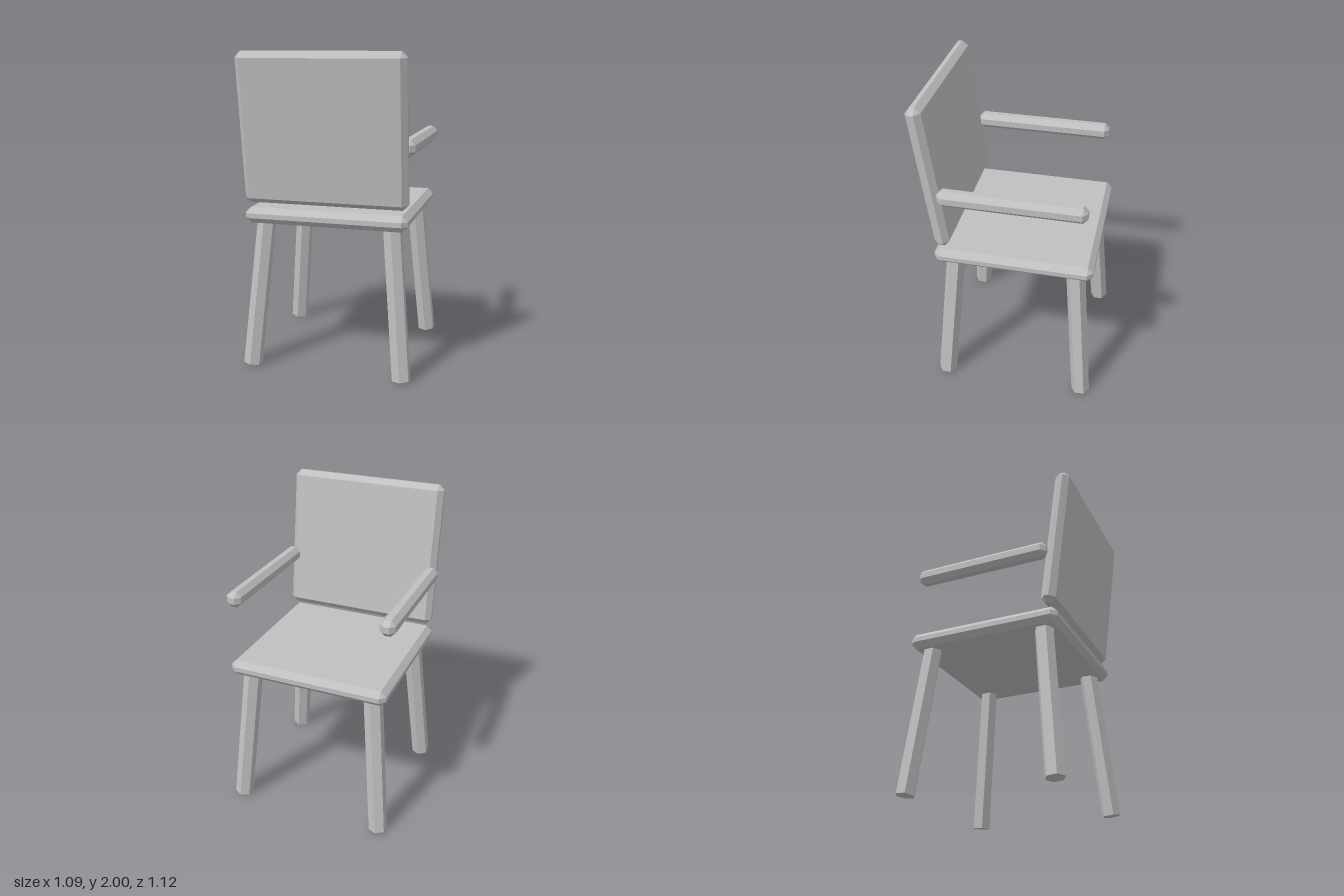
import * as THREE from 'three';
import { ConvexGeometry } from 'three/addons/geometries/ConvexGeometry.js';

// Box with every edge and corner cut by a single chamfer.
function chamferBox(w, h, d, b) {
  const x = w / 2, y = h / 2, z = d / 2;
  const points = [];
  for (const sx of [-1, 1]) for (const sy of [-1, 1]) for (const sz of [-1, 1]) {
    points.push(
      new THREE.Vector3(sx * x, sy * (y - b), sz * (z - b)),
      new THREE.Vector3(sx * (x - b), sy * y, sz * (z - b)),
      new THREE.Vector3(sx * (x - b), sy * (y - b), sz * z),
    );
  }
  return new ConvexGeometry(points);
}

export function createModel() {
  const chair = new THREE.Group();
  chair.name = 'armchair';

  const grey = new THREE.MeshStandardMaterial({ color: 0xc0c0c0, flatShading: true });
  grey.name = 'plain grey';

  const add = (name, geometry, x, y, z) => {
    const mesh = new THREE.Mesh(geometry, grey);
    mesh.name = name;
    mesh.position.set(x, y, z);
    chair.add(mesh);
    return mesh;
  };

  const midZ = -0.038; // centre of the seat and of the leg layout

  // Seat slab
  add('seat', chamferBox(1.03, 0.1, 0.99, 0.035), 0, 0.995, midZ);

  // Backrest, leaning away from the seat
  const back = add('backrest', chamferBox(1.03, 0.929, 0.095, 0.034), 0, 1.537, 0.457);
  back.rotation.x = 0.131;

  // Armrests
  const armGeometry = chamferBox(0.097, 0.1, 0.89, 0.03);
  for (const side of [-1, 1]) {
    add(side > 0 ? 'leftArmrest' : 'rightArmrest', armGeometry, side * 0.4935, 1.44, -0.04);
  }

  // Six-sided legs, splayed outwards towards the floor
  const up = new THREE.Vector3(0, 1, 0);
  for (const sx of [-1, 1]) for (const sz of [-1, 1]) {
    const foot = new THREE.Vector3(sx * 0.491, 0.008, midZ + sz * 0.463);
    const top = new THREE.Vector3(sx * 0.404, 0.97, midZ + sz * 0.378);
    const axis = top.clone().sub(foot);
    const centre = foot.clone().add(top).multiplyScalar(0.5);
    const name = (sz > 0 ? 'back' : 'front') + (sx > 0 ? 'Left' : 'Right') + 'Leg';
    const leg = add(name, new THREE.CylinderGeometry(0.06, 0.06, axis.length(), 6),
      centre.x, centre.y, centre.z);
    leg.quaternion.setFromUnitVectors(up, axis.normalize());
  }

  return chair;
}
